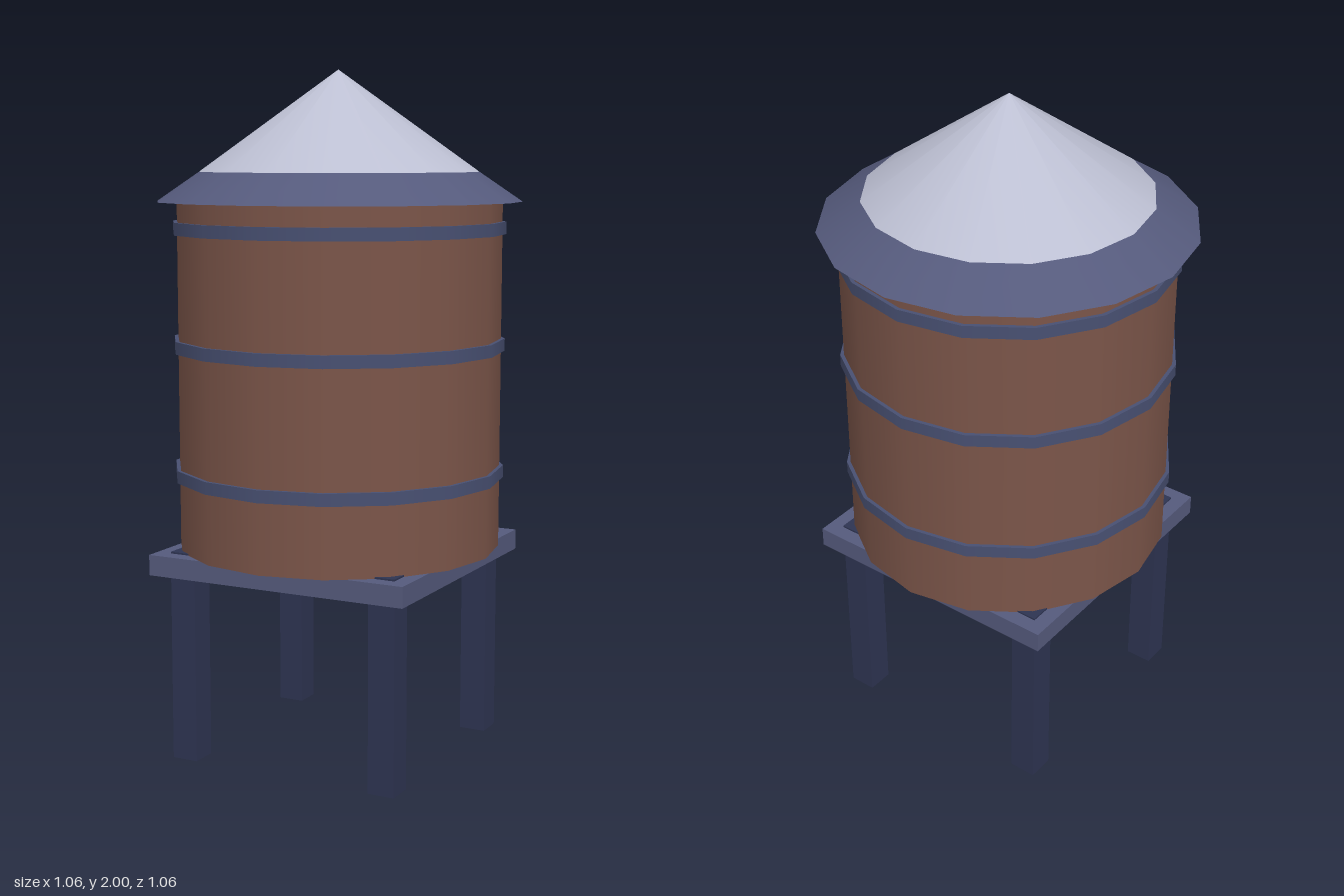
import * as THREE from 'three';

const SIDES = 16;

function material(name, color) {
  const m = new THREE.MeshStandardMaterial({ color });
  m.name = name;
  return m;
}

export function createModel() {
  const model = new THREE.Group();
  model.name = 'waterTower';

  const wood = material('brown wood', 0x7b5549);
  const slate = material('slate blue', 0x555a7c);
  const hoopMetal = material('hoop blue', 0x485072);
  const navy = material('dark navy', 0x2e3452);
  const roofMetal = material('pale grey roof', 0xbcbfd2);

  const add = (name, geometry, mat, x, y, z) => {
    const mesh = new THREE.Mesh(geometry, mat);
    mesh.name = name;
    mesh.position.set(x, y, z);
    model.add(mesh);
    return mesh;
  };

  // Four square legs, their tops just above the platform
  for (const x of [-0.32, 0.32]) {
    for (const z of [-0.32, 0.32]) {
      add('leg', new THREE.BoxGeometry(0.08, 0.62, 0.08), navy, x, 0.31, z);
    }
  }

  // Platform
  add('platform', new THREE.BoxGeometry(0.81, 0.06, 0.81), slate, 0, 0.585, 0);

  // Tank
  add('tank', new THREE.CylinderGeometry(0.475, 0.475, 1.015, SIDES), wood, 0, 1.1225, 0);

  // Hoops around the tank
  for (const y of [0.838, 1.212, 1.55]) {
    add('hoop', new THREE.CylinderGeometry(0.486, 0.486, 0.036, SIDES), hoopMetal, 0, y, 0);
  }

  // Conical roof with a darker eave and a flat underside
  add('roof', new THREE.CylinderGeometry(0, 0.407, 0.29, SIDES, 1, true), roofMetal, 0, 1.855, 0);
  add('eave', new THREE.CylinderGeometry(0.407, 0.532, 0.085, SIDES, 1, true), slate, 0, 1.6675, 0);
  const underside = add('eaveUnderside', new THREE.CircleGeometry(0.532, SIDES), slate, 0, 1.625, 0);
  underside.rotation.x = Math.PI / 2;

  return model;
}
